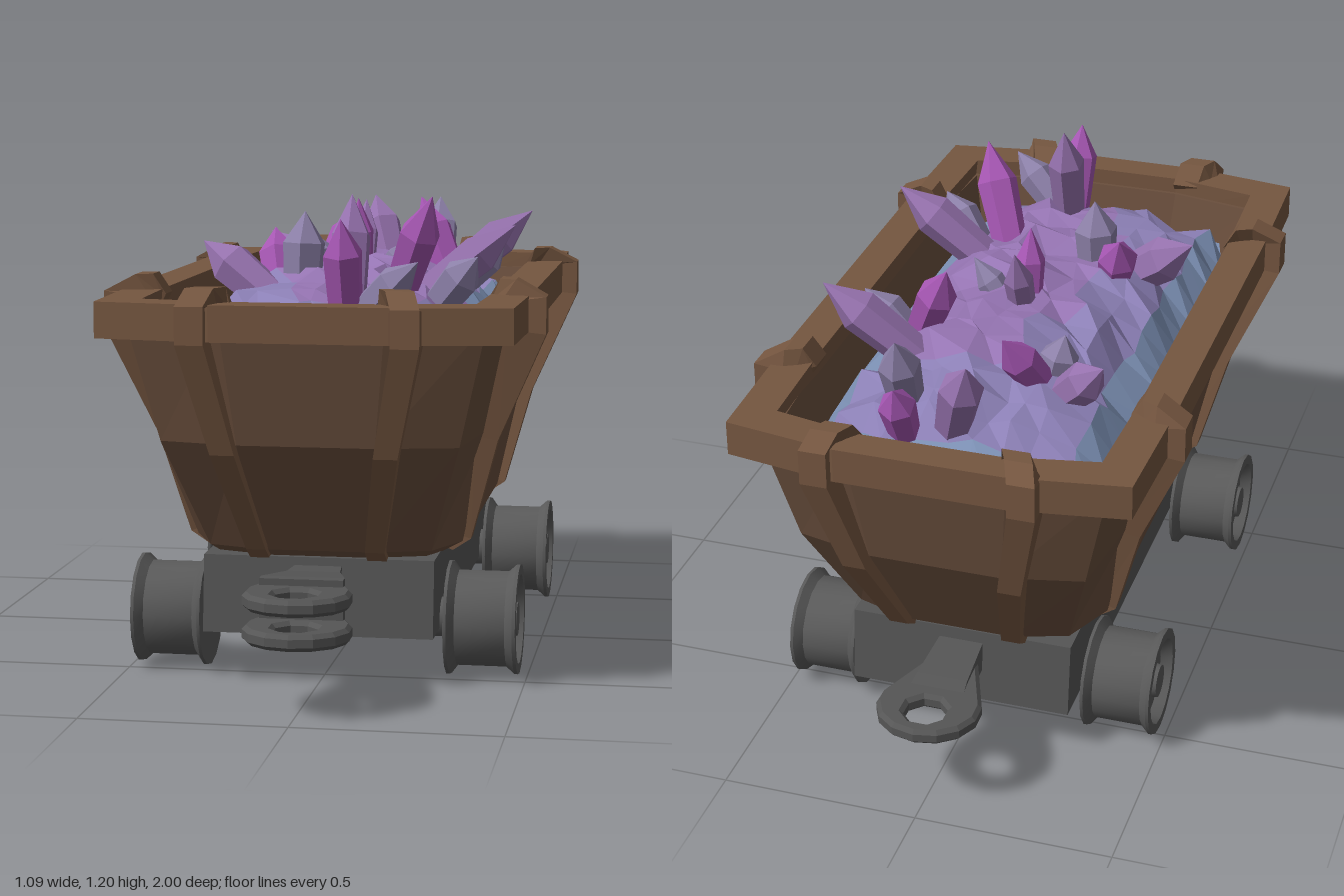
import * as THREE from 'three';
import { toCreasedNormals } from 'three/addons/utils/BufferGeometryUtils.js';

const V = (x, y, z) => new THREE.Vector3(x, y, z);
const mat = (color, side = THREE.FrontSide) =>
  new THREE.MeshStandardMaterial({ color, side, flatShading: true });
const ZC = -0.023; // tub centre along z

function add(parent, name, geometry, material) {
  const mesh = new THREE.Mesh(geometry, material);
  mesh.name = name;
  parent.add(mesh);
  return mesh;
}

// Skin a list of equal-sized closed rings, with optional end caps
function loft(rings, { caps = false, loop = false } = {}) {
  const pts = [];
  const n = rings[0].length;
  const last = loop ? rings.length : rings.length - 1;
  for (let r = 0; r < last; r++) {
    const lo = rings[r], hi = rings[(r + 1) % rings.length];
    for (let i = 0; i < n; i++) {
      const j = (i + 1) % n;
      pts.push(lo[i], lo[j], hi[j], lo[i], hi[j], hi[i]);
    }
  }
  if (caps) {
    const a = rings[0], b = rings[rings.length - 1];
    for (let i = 1; i < n - 1; i++) pts.push(a[0], a[i + 1], a[i], b[0], b[i], b[i + 1]);
  }
  const g = new THREE.BufferGeometry().setFromPoints(pts);
  g.computeVertexNormals();
  return g;
}

// Tub outline at one height: slightly bowed sides and ends
function tubRing([y, w, l, inset]) {
  const c = w - inset, e = l - 0.045, s = 0.45, f = w * 0.42;
  return [[w, s], [w, -s], [c, -e], [f, -l], [-f, -l], [-c, -e],
    [-w, -s], [-w, s], [-c, e], [-f, l], [f, l], [c, e]].map(([x, z]) => V(x, y, z + ZC));
}

// Strap rows: y outer, y inner, outer and inner reach on sides, then on ends, sideways lean
const STRAP = [
  [0.315, 0.33, 0.31, 0.27, 0.612, 0.57, 0],
  [0.345, 0.36, 0.355, 0.31, 0.66, 0.60, 0],
  [0.60, 0.61, 0.425, 0.37, 0.822, 0.75, 0],
  [0.87, 0.88, 0.545, 0.45, 0.91, 0.83, 0.012],
  [0.96, 0.95, 0.545, 0.47, 0.91, 0.85, 0.012],
  [1.0, 0.955, 0.47, 0.44, 0.87, 0.83, -0.005],
  [1.0, 0.95, 0.43, 0.41, 0.825, 0.80, -0.025],
  [0.95, 0.93, 0.40, 0.41, 0.785, 0.80, -0.035],
];
function strap(side, sign, lat) {
  const rings = STRAP.map(([yo, yi, so, si, eo, ei, lean]) => {
    const t = Math.min(1, Math.max(0, (yo - 0.34) / 0.5));
    const shift = lean + (side ? 0.42 + 0.085 * t : 0.145 + 0.095 * t);
    const h = 0.024 + 0.01 * t;
    const p = (d, y, k) => side
      ? V(sign * d, y, lat * shift + k * h + ZC)
      : V(lat * shift + k * h, y, sign * d + ZC);
    const o = side ? so : eo, i = side ? si : ei;
    return [p(o, yo, -1), p(o, yo, 1), p(i, yi, 1), p(i, yi, -1)];
  });
  return loft(rings, { caps: true });
}

// Flat coupling ring with a tapered tang, lying in the xz plane
function couplerPlate(tangStart, tangHalf, thick) {
  const s = new THREE.Shape();
  s.moveTo(-tangHalf, tangStart);
  for (let i = 0; i <= 8; i++) {
    const a = Math.PI * (1.08 - 1.16 * i / 8);
    s.lineTo(Math.cos(a) * 0.13, 0.88 + Math.sin(a) * 0.12);
  }
  s.lineTo(tangHalf, tangStart);
  const hole = new THREE.Path();
  hole.setFromPoints(Array.from({ length: 8 }, (_, i) => {
    const a = (i + 0.5) * Math.PI / 4;
    return new THREE.Vector2(Math.cos(a) * 0.054, 0.905 + Math.sin(a) * 0.054);
  }));
  s.holes.push(hole);
  return new THREE.ExtrudeGeometry(s, {
    depth: thick - 0.02, bevelEnabled: true, bevelSize: 0.01, bevelThickness: 0.01, bevelSegments: 1, bevelOffset: -0.01,
  }).rotateX(Math.PI / 2).translate(0, thick / 2 - 0.01, 0);
}

const rect = (hx, y0, y1, z) => [V(-hx, y0, z), V(hx, y0, z), V(hx, y1, z), V(-hx, y1, z)];

// Crystals: tip x, y, z, base x, z, radius
const CRYSTALS = [
  [-0.06, 1.13, -0.74, 0.02, -0.62, 0.055], [0.11, 1.06, -0.77, 0.12, -0.66, 0.046],
  [0.14, 1.13, -0.67, 0.15, -0.55, 0.052], [-0.32, 1.04, -0.49, -0.16, -0.42, 0.052],
  [-0.08, 1.10, -0.53, -0.17, -0.38, 0.047], [-0.19, 1.05, -0.37, -0.15, -0.39, 0.05],
  [0.43, 1.11, -0.39, 0.14, -0.34, 0.056], [0.13, 1.15, -0.32, 0.25, -0.23, 0.052],
  [0.37, 1.04, -0.26, 0.2, -0.27, 0.052], [0.0, 1.15, -0.18, 0.0, -0.07, 0.038],
  [0.0, 1.16, -0.04, 0.0, -0.07, 0.04], [0.15, 1.06, -0.05, 0.0, -0.07, 0.037],
  [-0.37, 1.06, 0.18, -0.12, 0.25, 0.06], [-0.2, 1.09, 0.08, -0.15, 0.22, 0.053],
  [-0.1, 1.14, 0.2, -0.11, 0.21, 0.057], [0.44, 1.11, 0.2, 0.14, 0.22, 0.056],
  [0.25, 1.19, 0.38, 0.13, 0.25, 0.054], [0.36, 1.04, 0.35, 0.22, 0.28, 0.052],
  [0.065, 1.2, 0.47, 0.07, 0.56, 0.05], [0.065, 1.15, 0.65, 0.07, 0.58, 0.05],
  [0.25, 1.05, 0.64, 0.06, 0.57, 0.048],
];

export function createModel() {
  const model = new THREE.Group();
  const wood = mat(0x6a4f3d, THREE.DoubleSide);
  const trim = mat(0x755640, THREE.DoubleSide);
  const metal = mat(0x555555);
  const metalSmooth = new THREE.MeshStandardMaterial({ color: 0x5a5a5a });

  // Tub: outside up, over the top, inside down
  const tub = [[0.31, 0.28, 0.58, 0.03], [0.34, 0.335, 0.63, 0.06], [0.62, 0.395, 0.79, 0.035],
    [0.92, 0.47, 0.85, 0.04], [0.92, 0.42, 0.79, 0.02], [0.7, 0.38, 0.74, 0.02]];
  add(model, 'tub', loft(tub.map(tubRing), { caps: true }), wood);

  // Rim board around the top
  const rim = [[0.875, 0.505, 0.885, 0.01], [0.962, 0.505, 0.885, 0.01],
    [0.962, 0.41, 0.8, 0.01], [0.875, 0.42, 0.80, 0.01]];
  add(model, 'rim', loft(rim.map(tubRing), { loop: true }), trim);

  // Eight straps hooked over the rim
  for (const side of [true, false])
    for (const sign of [-1, 1])
      for (const lat of [-1, 1]) add(model, side ? 'sideStrap' : 'endStrap', strap(side, sign, lat), trim);

  // Chassis block, a little longer at its foot
  const block = new THREE.BoxGeometry(0.57, 0.19, 1.22);
  const bp = block.attributes.position;
  for (let i = 0; i < bp.count; i++) if (bp.getY(i) < 0) bp.setZ(i, bp.getZ(i) * 1.035);
  block.translate(0, 0.225, -0.02);
  block.computeVertexNormals();
  add(model, 'chassis', block, metal);

  // Axles and flanged wheels
  const profile = [[0, 0.303], [0.143, 0.303], [0.143, 0.311], [0.12, 0.328], [0.12, 0.452], [0.138, 0.472],
    [0.138, 0.48], [0.112, 0.48], [0.104, 0.45], [0.045, 0.45], [0.042, 0.475], [0, 0.475]]
    .map(([r, y]) => new THREE.Vector2(r, y));
  const wheel = toCreasedNormals(new THREE.LatheGeometry(profile, 16), 0.5);
  for (const z of [0.432, -0.467]) {
    const set = new THREE.Group();
    set.name = 'wheelSet';
    set.position.set(0, 0.148, z);
    model.add(set);
    add(set, 'axle', new THREE.CylinderGeometry(0.05, 0.05, 0.64, 16).rotateZ(Math.PI / 2), metalSmooth);
    for (const s of [-1, 1]) add(set, 'wheel', wheel, metalSmooth).rotation.z = -s * Math.PI / 2;
  }

  // Front forked coupling
  add(model, 'frontCouplerArm', loft([rect(0.055, 0.2, 0.3, 0.56), rect(0.065, 0.195, 0.3, 0.66),
    rect(0.1, 0.178, 0.316, 0.8), rect(0.1, 0.178, 0.316, 0.83)], { caps: true }), metal);
  for (const y of [0.2, 0.28])
    add(model, 'frontCouplerPlate', couplerPlate(0.76, 0.09, 0.04), metal).position.y = y;

  // Rear single coupling
  add(model, 'rearCouplerArm', loft([rect(0.07, 0.23, 0.264, -0.835), rect(0.065, 0.222, 0.276, -0.78),
    rect(0.055, 0.212, 0.292, -0.6)], { caps: true }), metal);
  const rear = add(model, 'rearCouplerPlate', couplerPlate(0.68, 0.06, 0.04), metal);
  rear.position.y = 0.248;
  rear.rotation.y = Math.PI;

  // Jagged domed ore heap, bluer towards its edge
  const noise = (i, j) => { const s = Math.sin(i * 127.1 + j * 311.7) * 43758.5453; return s - Math.floor(s); };
  const NX = 10, NZ = 20;
  const heap = (i, j) => {
    const u = 2 * i / NX - 1, v = 2 * j / NZ - 1;
    const inner = i > 0 && i < NX && j > 0 && j < NZ ? 1 : 0;
    const fall = (1 - Math.abs(u) ** 3) * (1 - v ** 6);
    const crest = 0.025 * (1 - u * u) * Math.max(0, 1 - 4 * v * v);
    return V(u * 0.37 * (1 - 0.12 * v ** 6) + inner * (noise(i, j) - 0.5) * 0.06,
      0.82 + 0.16 * fall + crest + inner * (noise(j, i + 9) - 0.5) * 0.045,
      ZC + v * 0.755 * (1 - 0.05 * u ** 4) + inner * (noise(i + 5, j) - 0.5) * 0.06);
  };
  const zones = { oreHeapCore: [], oreHeapSlope: [], oreHeapEdge: [] };
  for (let i = 0; i < NX; i++)
    for (let j = 0; j < NZ; j++) {
      const a = heap(i, j), b = heap(i, j + 1), c = heap(i + 1, j + 1), d = heap(i + 1, j);
      const out = i < 1 || i >= NX - 1 || j < 1 || j >= NZ - 1;
      const core = Math.hypot((i - 5.5) / 3, (j - 11) / 7) < 1;
      zones[out ? 'oreHeapEdge' : core ? 'oreHeapCore' : 'oreHeapSlope'].push(a, b, c, a, c, d);
    }
  const heapTint = { oreHeapCore: 0x9574b2, oreHeapSlope: 0x8c80b6, oreHeapEdge: 0x7c90b4 };
  for (const [name, pts] of Object.entries(zones)) {
    const g = new THREE.BufferGeometry().setFromPoints(pts);
    g.computeVertexNormals();
    add(model, name, g, mat(heapTint[name], THREE.DoubleSide));
  }

  // Six-sided pointed crystals
  const tints = [0x9672ae, 0xa556b2, 0x8c80a8].map((c) => mat(c));
  CRYSTALS.forEach(([tx, ty, tz, bx, bz, r], k) => {
    const base = V(bx, 0.87, bz), dir = V(tx, ty, tz).sub(base), len = dir.length();
    const outline = [[0, 0], [r * 0.8, 0], [r, len * 0.7], [0, len]].map(([x, y]) => new THREE.Vector2(x, y));
    const m = add(model, 'crystal', new THREE.LatheGeometry(outline, 6), tints[k % 3]);
    m.position.copy(base);
    m.quaternion.setFromUnitVectors(V(0, 1, 0), dir.normalize());
  });
  return model;
}
